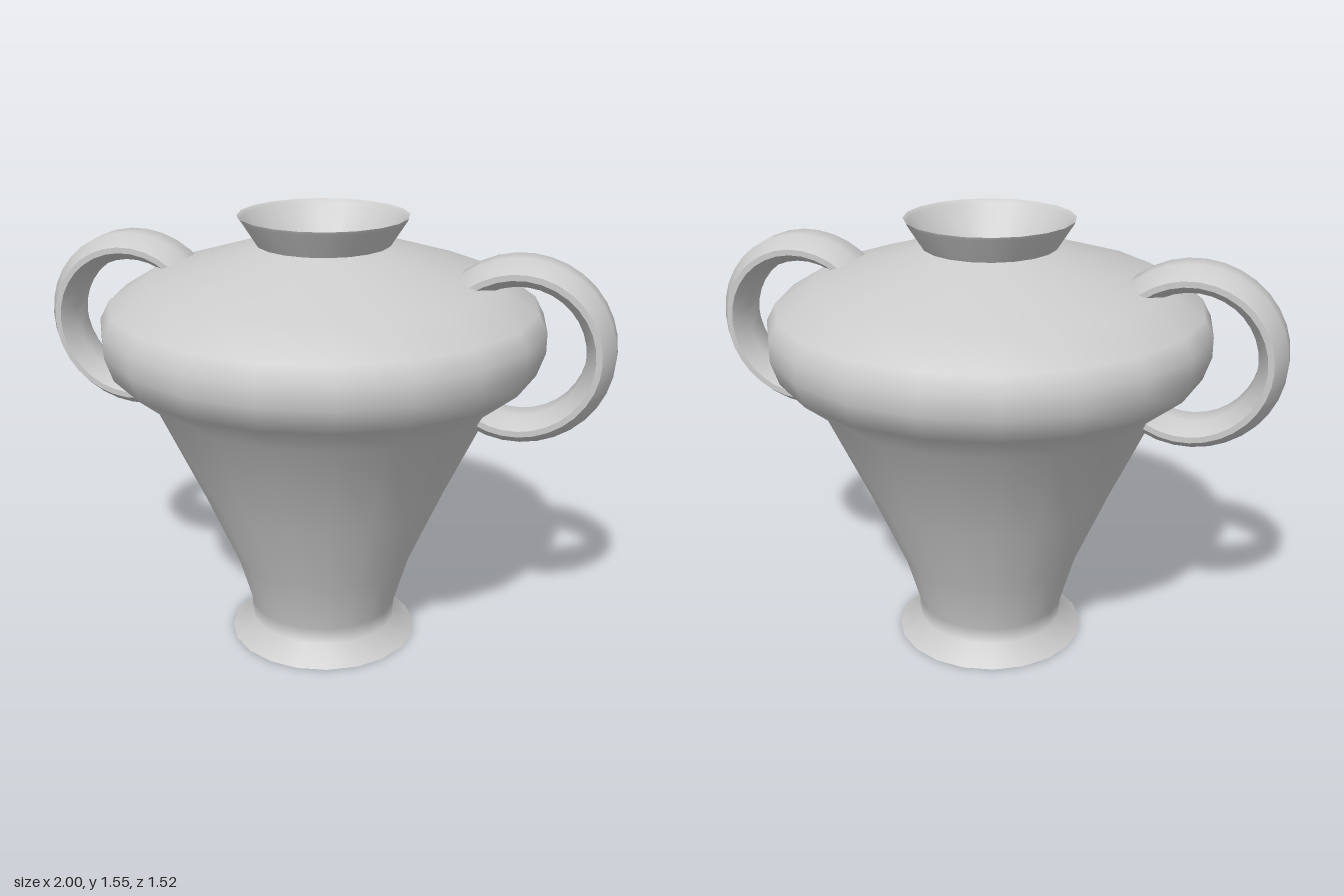
import * as THREE from 'three';
import { toCreasedNormals } from 'three/addons/utils/BufferGeometryUtils.js';

const SIDES = 20;
const CENTRE_X = 0.01;

const material = new THREE.MeshStandardMaterial({ color: 0xcccccc, side: THREE.DoubleSide });
const points = (list) => list.map(([r, y]) => new THREE.Vector2(r, y));

// A turned part of the vase
function turned(name, profile) {
  const mesh = new THREE.Mesh(new THREE.LatheGeometry(points(profile), SIDES), material);
  mesh.name = name;
  mesh.position.x = CENTRE_X;
  return mesh;
}

// A ring handle with a flattened eight-sided section, its ends sunk into the body
function handle(name, side) {
  const section = points([
    [0.22, -0.04], [0.255, -0.105], [0.275, -0.105], [0.315, -0.04],
    [0.315, 0.04], [0.275, 0.105], [0.255, 0.105], [0.22, 0.04], [0.22, -0.04],
  ]);
  const ring = new THREE.LatheGeometry(section, 28, -Math.PI / 3, (Math.PI * 5) / 3);
  ring.rotateX(Math.PI / 2);
  if (side < 0) ring.rotateY(Math.PI);
  const mesh = new THREE.Mesh(toCreasedNormals(ring, 0.9), material);
  mesh.name = name;
  mesh.position.set(side * 0.685, 1.14, side > 0 ? 0.005 : -0.012);
  return mesh;
}

export function createModel() {
  const vase = new THREE.Group();
  vase.name = 'vase';

  // Flared foot, tapering belly and wide shoulder, open underneath
  vase.add(turned('body', [
    [0.34, 0], [0.265, 0.06], [0.265, 0.12], [0.32, 0.31], [0.435, 0.58],
    [0.6, 0.94], [0.735, 1.05], [0.762, 1.13], [0.762, 1.2],
    [0.73, 1.26], [0.6, 1.34], [0.23, 1.455],
  ]));

  // Flared neck with a thin lip
  vase.add(turned('neck', [[0.23, 1.455], [0.285, 1.54], [0.29, 1.55]]));

  // Funnel inside the mouth, open at the bottom
  vase.add(turned('mouthFunnel', [[0.29, 1.55], [0.275, 1.54], [0.14, 1.36]]));

  vase.add(handle('leftHandle', 1), handle('rightHandle', -1));
  return vase;
}
